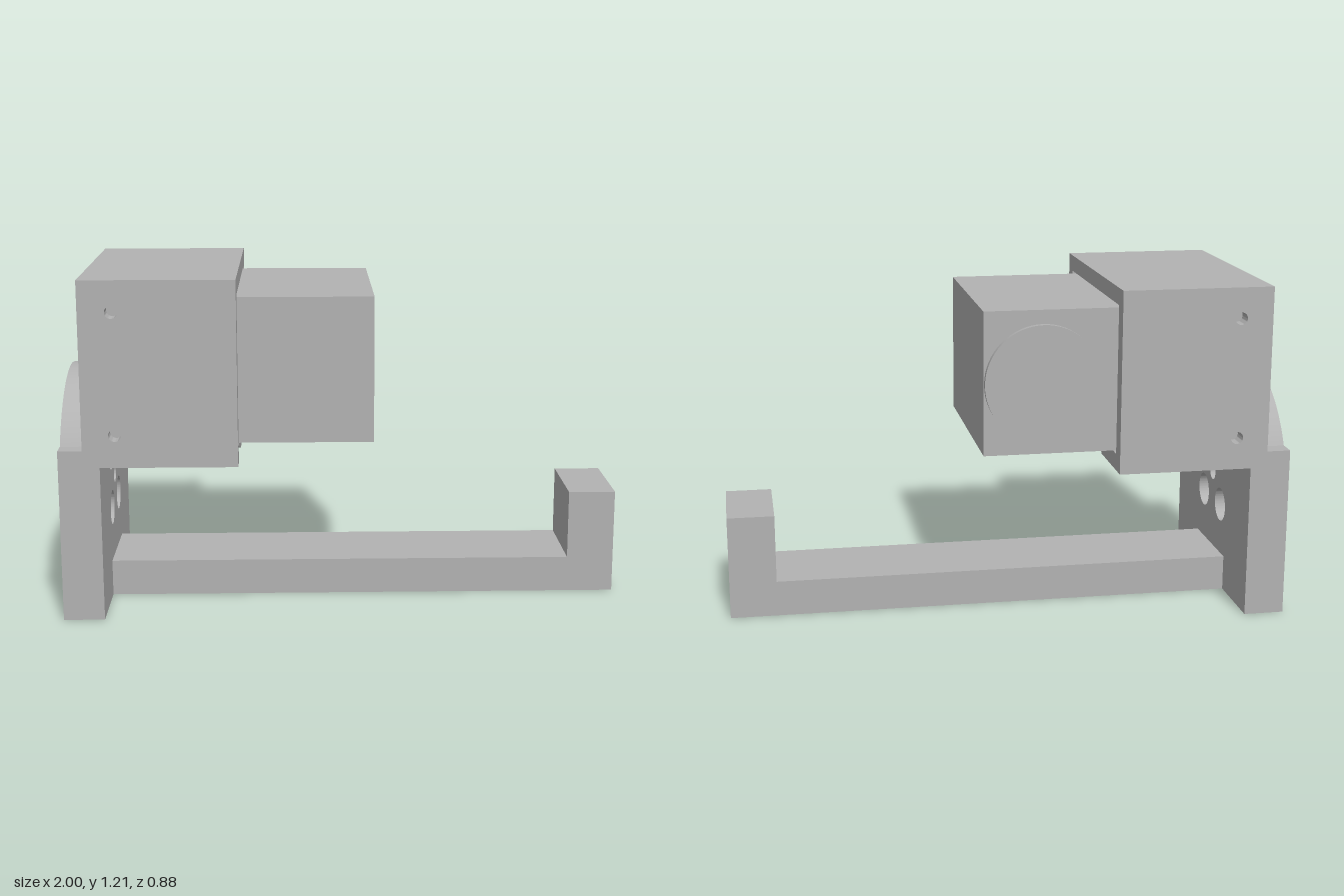
import * as THREE from 'three';
import { toCreasedNormals } from 'three/addons/utils/BufferGeometryUtils.js';

export function createModel() {
  const group = new THREE.Group();
  const grey = new THREE.MeshStandardMaterial({ color: 0xb2b2b2 });
  grey.name = 'grey';

  const add = (name, geometry) => {
    const mesh = new THREE.Mesh(geometry, grey);
    mesh.name = name;
    group.add(mesh);
    return mesh;
  };
  const box = (name, x0, x1, y0, y1, z0, z1) =>
    add(name, new THREE.BoxGeometry(x1 - x0, y1 - y0, z1 - z0))
      .position.set((x0 + x1) / 2, (y0 + y1) / 2, (z0 + z1) / 2);
  const extrude = (shape, depth) => toCreasedNormals(
    new THREE.ExtrudeGeometry(shape, { depth, bevelEnabled: false, curveSegments: 40 }), 0.5);
  // Extrude a (z, y) section along x
  const alongX = (name, shape, x0, x1) =>
    add(name, extrude(shape, x1 - x0).rotateY(Math.PI / 2).translate(x0, 0, 0));
  const hole = (shape, x, y, r) =>
    shape.holes.push(new THREE.Path().absarc(x, y, r, 0, Math.PI * 2, true));

  // Shared dimensions
  const W = 0.44, pitch = 0.103, centreY = 0.42, upperY = 0.525, lowerY = 0.317;
  const rHole = 0.033, rBore = 0.063, bodyY = 0.555, bodyTop = 1.21;
  const back = -0.915, front = -0.375, boreX = -0.93;
  const notch = Math.asin((bodyY - upperY) / rBore);

  // Mounting plate with rounded top: narrow holes outside, counterbores inside
  const roundedPlate = () => {
    const a = Math.asin(0.195 / 0.42);
    const s = new THREE.Shape();
    s.moveTo(-W, 0).lineTo(W, 0).lineTo(W, 0.615);
    s.absarc(0, centreY, 0.42, a, Math.PI - a, false);
    s.lineTo(-W, 0.615);
    hole(s, 0, centreY, rHole);
    return s;
  };
  const outer = roundedPlate(), middle = roundedPlate();
  for (const z of [-pitch, pitch]) for (const y of [lowerY, upperY]) {
    hole(outer, z, y, rHole);
    hole(middle, z, y, rBore);
  }
  alongX('mountingPlateOuter', outer, -1, boreX);
  alongX('mountingPlateMiddle', middle, boreX, back);

  const inner = new THREE.Shape();
  inner.moveTo(-W, 0).lineTo(W, 0).lineTo(W, bodyY);
  for (const z of [pitch, -pitch]) inner.absarc(z, upperY, rBore, notch, Math.PI - notch, true);
  inner.lineTo(-W, bodyY);
  hole(inner, 0, centreY, rHole);
  for (const z of [-pitch, pitch]) hole(inner, z, lowerY, rBore);
  alongX('mountingPlateInner', inner, back, -0.855);

  // Housing: grooved floor, roof, back wall and drilled side walls around a pocket
  const zIn = 0.38, yIn0 = 0.615, yIn1 = 1.15;
  const floor = new THREE.Shape();
  floor.moveTo(-zIn, bodyY);
  for (const z of [-pitch, pitch]) floor.absarc(z, upperY, rBore, Math.PI - notch, notch, true);
  floor.lineTo(zIn, bodyY).lineTo(zIn, yIn0).lineTo(-zIn, yIn0);
  alongX('housingFloor', floor, back, front);
  box('housingRoof', back, front, yIn1, bodyTop, -zIn, zIn);
  box('housingBack', back, -0.87, yIn0, yIn1, -zIn, zIn);
  for (const [name, z] of [['housingLeftWall', -W], ['housingRightWall', zIn]]) {
    const wall = new THREE.Shape();
    wall.moveTo(back, bodyY).lineTo(front, bodyY).lineTo(front, bodyTop).lineTo(back, bodyTop);
    for (const y of [0.67, 1.1]) hole(wall, -0.8, y, 0.022);
    add(name, extrude(wall, W - zIn).translate(0, 0, z));
  }

  // Block seated in the housing, with a round cap on its rear side
  box('insertBlock', -0.87, 0.1, 0.625, 1.14, -0.37, 0.37);
  add('roundCap', new THREE.CylinderGeometry(0.208, 0.208, 0.02, 64).rotateX(Math.PI / 2))
    .position.set(-0.11, 0.882, -0.38);

  // Base arm with upright end
  const arm = new THREE.Shape();
  arm.moveTo(-0.855, 0).lineTo(1, 0).lineTo(1, 0.38).lineTo(0.83, 0.38)
    .lineTo(0.83, 0.13).lineTo(-0.855, 0.13);
  add('baseArm', extrude(arm, 0.34).translate(0, 0, -0.17));

  return group;
}
